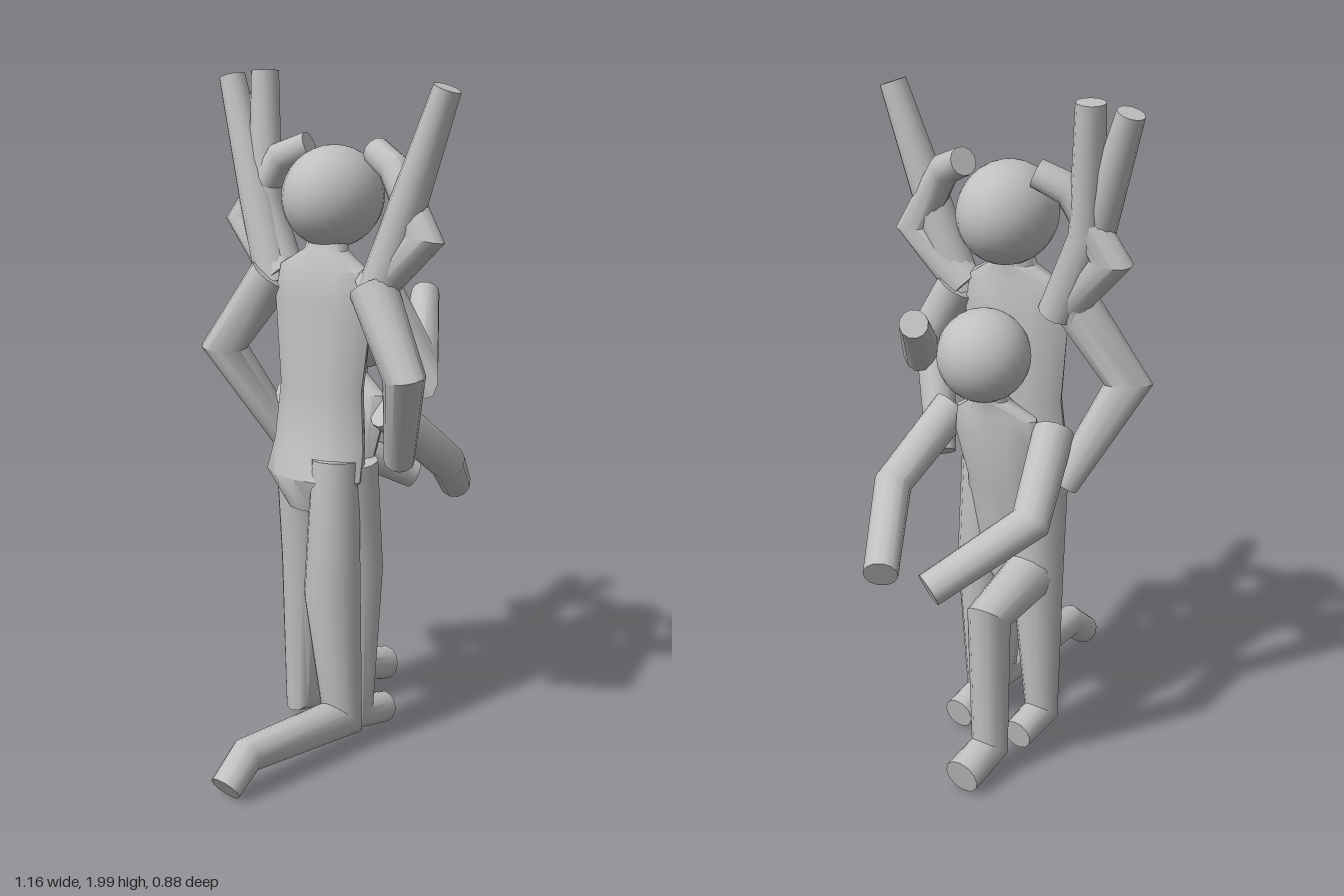
import * as THREE from 'three';
import { toCreasedNormals } from 'three/addons/utils/BufferGeometryUtils.js';

const SIDES = 12;
const V = (p) => new THREE.Vector3(...p);

// Closed skin over a list of rings (each ring: SIDES points, counter-clockwise about the path)
function skin(rings) {
  const pos = [], idx = [];
  const last = rings.length - 1;
  rings.forEach((r) => r.forEach((p) => pos.push(p.x, p.y, p.z)));
  for (const r of [rings[0], rings[last]]) {
    const c = new THREE.Vector3();
    r.forEach((p) => c.addScaledVector(p, 1 / SIDES));
    pos.push(c.x, c.y, c.z);
  }
  const c0 = rings.length * SIDES;
  for (let j = 0; j < SIDES; j++) {
    const k = (j + 1) % SIDES;
    for (let i = 0; i < last; i++) {
      const a = i * SIDES + j, b = i * SIDES + k;
      idx.push(a, b, a + SIDES, b, b + SIDES, a + SIDES);
    }
    idx.push(c0, k, j, c0 + 1, last * SIDES + j, last * SIDES + k);
  }
  const g = new THREE.BufferGeometry();
  g.setAttribute('position', new THREE.Float32BufferAttribute(pos, 3));
  g.setIndex(idx);
  return toCreasedNormals(g, 0.75);
}

// Limb with mitred joints; points are [x, y, z, radius]
function limbGeometry(points) {
  const c = points.map((p) => V(p.slice(0, 3)));
  const dirs = c.slice(1).map((p, i) => p.clone().sub(c[i]).normalize());
  const u = new THREE.Vector3(0, 0, 1);
  u.addScaledVector(dirs[0], -u.dot(dirs[0])).normalize();
  const w = dirs[0].clone().cross(u);
  let offsets = Array.from({ length: SIDES }, (_, j) => {
    const a = (j / SIDES) * Math.PI * 2;
    return u.clone().multiplyScalar(Math.cos(a)).addScaledVector(w, Math.sin(a));
  });
  const rings = c.map((p, i) => {
    if (i > 0) {
      // slide the previous ring along the segment onto the joint's plane
      const d = dirs[i - 1];
      const n = d.clone().add(dirs[i] ?? d).normalize();
      offsets = offsets.map((o) => o.clone().addScaledVector(d, -o.dot(n) / d.dot(n)));
    }
    return offsets.map((o) => p.clone().addScaledVector(o, points[i][3]));
  });
  return skin(rings);
}

// Upright body from elliptical sections [y, centreX, halfDepthX, halfWidthZ]
function bodyGeometry(sections) {
  return skin(sections.map(([y, cx, rx, rz]) => Array.from({ length: SIDES }, (_, j) => {
    const a = (j / SIDES) * Math.PI * 2;
    return new THREE.Vector3(cx + rx * Math.sin(a), y, rz * Math.cos(a));
  })));
}

export function createModel() {
  const group = new THREE.Group();
  const stone = new THREE.MeshStandardMaterial({ color: 0xc0c0c0 });
  stone.name = 'grey stone';

  const add = (name, geometry) => {
    const m = new THREE.Mesh(geometry, stone);
    m.name = name;
    group.add(m);
    return m;
  };
  const limb = (name, pts) => add(name, limbGeometry(pts));
  const limbPair = (name, pts) => {
    for (const s of [1, -1]) limb(name + (s > 0 ? 'Near' : 'Far'), pts.map(([x, y, z, r]) => [x, y, z * s, r]));
  };
  const head = (name, x, y, size) => {
    const m = add(name, new THREE.SphereGeometry(1, 24, 16));
    m.position.set(x, y, 0);
    m.scale.set(...size);
  };

  // Heads
  head('tallHead', 0.05, 1.65, [0.165, 0.148, 0.138]);
  head('smallHead', 0.17, 1.26, [0.135, 0.135, 0.135]);

  // Torsos with necks
  add('tallTorso', bodyGeometry([
    [0.74, -0.03, 0.07, 0.09], [0.84, -0.03, 0.1, 0.17], [0.93, -0.01, 0.075, 0.165],
    [1.1, 0, 0.07, 0.15], [1.36, 0.01, 0.075, 0.18], [1.45, 0.01, 0.065, 0.16],
    [1.5, 0.02, 0.055, 0.07], [1.58, 0.04, 0.05, 0.05],
  ]));
  add('smallTorso', bodyGeometry([
    [0.53, 0.05, 0.05, 0.05], [0.62, 0.05, 0.06, 0.13], [0.85, 0.08, 0.06, 0.12],
    [1.0, 0.1, 0.07, 0.15], [1.07, 0.11, 0.055, 0.14],
    [1.12, 0.13, 0.045, 0.055], [1.18, 0.15, 0.045, 0.045],
  ]));

  // Arms raised outward
  limbPair('raisedArm', [
    [0.01, 1.38, 0.19, 0.06], [0.03, 1.63, 0.28, 0.055], [0.055, 1.975, 0.4, 0.04],
  ]);
  // Arms bent with hands at the tall head
  limbPair('headArm', [
    [0.02, 1.4, 0.17, 0.06], [0.04, 1.56, 0.335, 0.052],
    [0.06, 1.745, 0.215, 0.045], [0.09, 1.785, 0.125, 0.042],
  ]);
  // Arms bent back at the elbows, hands at the waist
  limbPair('hipArm', [
    [0.0, 1.41, 0.19, 0.07], [-0.05, 1.18, 0.345, 0.06], [0.09, 0.89, 0.22, 0.045],
  ]);
  // Arms of the small figure reaching forward
  limbPair('reachingArm', [
    [0.08, 1.04, 0.18, 0.06], [0.29, 0.85, 0.245, 0.055], [0.55, 0.7, 0.085, 0.05],
  ]);
  // Single arms: one folded forward, one held straight up
  limb('foldedArm', [
    [0.04, 1.4, 0.19, 0.06], [0.08, 1.2, 0.3, 0.055], [0.29, 1.355, 0.155, 0.042],
  ]);
  limb('straightArm', [
    [0.04, 1.38, -0.16, 0.055], [0.05, 1.62, -0.265, 0.052], [0.08, 1.995, -0.29, 0.042],
  ]);

  // Standing legs with feet
  limbPair('standingLeg', [
    [0.02, 0.88, 0.09, 0.085], [0.045, 0.55, 0.1, 0.078],
    [0.035, 0.09, 0.11, 0.05], [0.165, 0.065, 0.11, 0.048],
  ]);
  // Kneeling leg with the shin laid backward
  limb('kneelingLeg', [
    [-0.045, 0.9, 0.09, 0.07], [-0.07, 0.5, 0.1, 0.085],
    [-0.055, 0.105, 0.125, 0.06], [-0.46, 0.12, 0.115, 0.05], [-0.55, 0.05, 0.115, 0.047],
  ]);
  // Stepping leg with a raised thigh
  limb('steppingLeg', [
    [0.04, 0.57, -0.09, 0.08], [0.31, 0.525, -0.115, 0.062],
    [0.31, 0.1, -0.115, 0.053], [0.45, 0.065, -0.115, 0.055],
  ]);
  return group;
}
